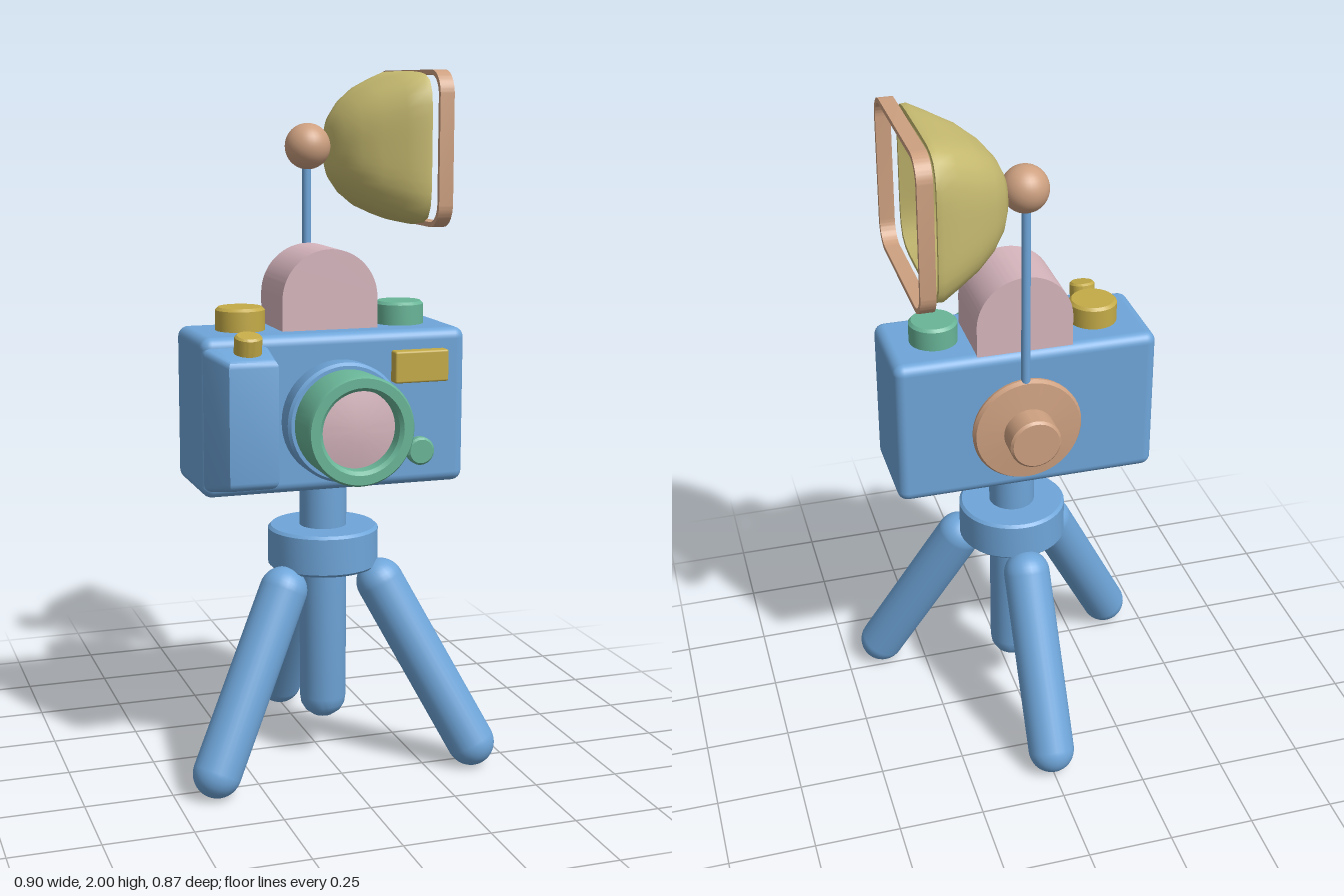
import * as THREE from 'three';
import { toCreasedNormals } from 'three/addons/utils/BufferGeometryUtils.js';
import { RoundedBoxGeometry } from 'three/addons/geometries/RoundedBoxGeometry.js';

const paint = (name, color) => {
  const m = new THREE.MeshStandardMaterial({ color });
  m.name = name;
  return m;
};

// Lathe from [radius, height] pairs, with edges kept sharp
const lathe = (points, sides = 40) =>
  toCreasedNormals(new THREE.LatheGeometry(points.map(([r, h]) => new THREE.Vector2(r, h)), sides), 0.6);

// Disc with small rounded rims, standing on height 0
const knob = (r, h, e = 0.008) => lathe([[0, 0], [r, 0], [r, h - e], [r - e, h], [0, h]]);

function roundedRect(target, w, h, r) {
  target.absarc(w - r, h - r, r, 0, Math.PI / 2);
  target.absarc(-w + r, h - r, r, Math.PI / 2, Math.PI);
  target.absarc(-w + r, -h + r, r, Math.PI, Math.PI * 1.5);
  target.absarc(w - r, -h + r, r, Math.PI * 1.5, Math.PI * 2);
  target.closePath();
  return target;
}

// Reflector bowl along x: squarish sections out to the rim, then back inside
function bowlGeometry() {
  const sections = [ // x, half height, half width, squareness
    [0.065, 0, 0, 2], [0.066, 0.06, 0.06, 2.4], [0.085, 0.1, 0.105, 2.6], [0.12, 0.14, 0.145, 3],
    [0.17, 0.175, 0.18, 3.6], [0.23, 0.2, 0.21, 4.5], [0.28, 0.217, 0.234, 5.5], [0.296, 0.214, 0.232, 6],
    [0.296, 0.202, 0.22, 6], [0.23, 0.185, 0.196, 4.5], [0.17, 0.16, 0.166, 3.8],
    [0.12, 0.125, 0.13, 3.6], [0.095, 0.09, 0.09, 3.6], [0.09, 0, 0, 2]];
  const n = 48, pos = [], index = [];
  sections.forEach(([x, hy, hz, p], i) => {
    for (let j = 0; j < n; j++) {
      const a = (j / n) * Math.PI * 2, c = Math.cos(a), s = Math.sin(a);
      const k = Math.pow(Math.abs(c) ** p + Math.abs(s) ** p, -1 / p);
      pos.push(x, c * k * hy, s * k * hz);
      if (i === 0) continue;
      const a0 = (i - 1) * n + j, b0 = (i - 1) * n + (j + 1) % n;
      if (i > 1) index.push(a0, b0, a0 + n);
      if (i < sections.length - 1) index.push(b0, b0 + n, a0 + n);
    }
  });
  const g = new THREE.BufferGeometry();
  g.setAttribute('position', new THREE.Float32BufferAttribute(pos, 3));
  g.setIndex(index);
  return toCreasedNormals(g, 0.9);
}

export function createModel() {
  const model = new THREE.Group();
  model.name = 'cameraOnTripod';
  const blue = paint('blue', 0x6fa6da);
  const gold = paint('gold', 0xc4ab48);
  const khaki = paint('khaki', 0xc6ba70);
  const green = paint('green', 0x69b598);
  const pink = paint('pink', 0xd6b5bd);
  const tan = paint('tan', 0xcda080);

  const add = (name, geometry, material, x = 0, y = 0, z = 0) => {
    const mesh = new THREE.Mesh(geometry, material);
    mesh.name = name;
    mesh.position.set(x, y, z);
    model.add(mesh);
    return mesh;
  };
  const midZ = 0.075;

  // Tripod: three splayed legs, centre column and collar
  const up = new THREE.Vector3(0, 1, 0);
  for (let i = 0; i < 3; i++) {
    const a = Math.PI + (i * Math.PI * 2) / 3;
    const at = (r, y) => new THREE.Vector3(Math.sin(a) * r, y, midZ + Math.cos(a) * r);
    const top = at(0.17, 0.54), foot = at(0.442, 0.07);
    const leg = add('tripodLeg', new THREE.CapsuleGeometry(0.069, top.distanceTo(foot), 10, 28), blue);
    leg.position.copy(top).add(foot).multiplyScalar(0.5);
    leg.quaternion.setFromUnitVectors(up, top.sub(foot).normalize());
  }
  add('centreColumn', lathe([[0, 0.12], [0.03, 0.124], [0.052, 0.14], [0.064, 0.16], [0.068, 0.185],
    [0.068, 0.86], [0, 0.86]]), blue, 0, 0, midZ);
  add('collar', lathe([[0, 0.585], [0.152, 0.585], [0.16, 0.593], [0.16, 0.697], [0.152, 0.705],
    [0, 0.705]]), blue, 0, 0, midZ);

  // Camera body
  add('body', new RoundedBoxGeometry(0.77, 0.445, 0.3, 4, 0.03), blue, -0.01, 1.0625, 0.08);

  // Hand grip with a top that slopes forward
  const gripShape = new THREE.Shape([[-0.37, -0.15], [-0.37, -0.23], [-0.335, -0.318], [-0.23, -0.318],
    [-0.218, -0.15]].map(([x, y]) => new THREE.Vector2(x, y)));
  const grip = new THREE.ExtrudeGeometry(gripShape, {
    depth: 0.36, bevelSize: 0.02, bevelThickness: 0.02, bevelSegments: 4 });
  grip.rotateX(-Math.PI / 2);
  const gp = grip.attributes.position;
  for (let i = 0; i < gp.count; i++) {
    const slope = (gp.getZ(i) - 0.22) * 0.2;
    if (gp.getY(i) > 0.2) gp.setY(i, gp.getY(i) - slope);
    else gp.setY(i, gp.getY(i) + slope);
  }
  add('grip', toCreasedNormals(grip, 0.6), blue, 0, 0.88, 0);

  // Arched viewfinder hump
  const hump = new THREE.Shape();
  hump.moveTo(-0.14, 1.26);
  hump.lineTo(0.14, 1.26);
  hump.absarc(0, 1.37, 0.14, 0, Math.PI);
  add('viewfinderHump', toCreasedNormals(new THREE.ExtrudeGeometry(hump, {
    depth: 0.21, bevelEnabled: false, curveSegments: 32 }), 0.6), pink, -0.005, 0, -0.055);

  // Dials and shutter button
  add('leftDial', knob(0.07, 0.08), green, 0.23, 1.27, midZ);
  add('rightDial', knob(0.07, 0.08), gold, -0.245, 1.27, midZ);
  const shutter = add('shutterButton', knob(0.038, 0.05, 0.006), gold, -0.28, 1.25, 0.276);
  shutter.rotation.x = 0.2;

  // Lens: mount ring, barrel with a recessed mouth, glass
  const lensPart = (name, points, material) => {
    const mesh = add(name, lathe(points, 56), material, -0.005, 1.045, 0);
    mesh.rotation.x = Math.PI / 2;
    return mesh;
  };
  lensPart('lensMount', [[0, 0.21], [0.16, 0.21], [0.168, 0.235], [0.168, 0.292], [0.16, 0.3], [0, 0.3]], blue);
  lensPart('lensBarrel', [[0.15, 0.29], [0.152, 0.42], [0.146, 0.43], [0.12, 0.43], [0.11, 0.42],
    [0.108, 0.37]], green);
  lensPart('lensGlass', [[0.112, 0.385], [0.08, 0.391], [0.04, 0.396], [0, 0.398]], pink);

  // Front window and small button
  add('frontWindow', new RoundedBoxGeometry(0.16, 0.09, 0.06, 2, 0.006), gold, 0.23, 1.185, 0.235);
  const button = add('frontButton', knob(0.04, 0.04, 0.006), green, 0.235, 0.94, 0.215);
  button.rotation.x = Math.PI / 2;

  // Rear eyepiece: shallow flange and round knob
  const eyepiece = add('eyepiece', lathe([[0, 0.05], [0.158, 0.05], [0.162, 0.08], [0.155, 0.092],
    [0.075, 0.1], [0.075, 0.168], [0.068, 0.175], [0, 0.175]], 48), tan, -0.005, 1.04, 0);
  eyepiece.rotation.x = -Math.PI / 2;

  // Flash: rod, ball joint, bowl and loose frame
  const flashZ = -0.078;
  add('flashRod', new THREE.CylinderGeometry(0.013, 0.013, 0.62, 16), blue, 0, 1.46, flashZ);
  add('ballJoint', new THREE.SphereGeometry(0.066, 32, 20), tan, 0.003, 1.785, flashZ);
  add('flashBowl', bowlGeometry(), khaki, 0, 1.78, flashZ);
  const frame = roundedRect(new THREE.Shape(), 0.255, 0.22, 0.07);
  frame.holes.push(roundedRect(new THREE.Path(), 0.241, 0.206, 0.057));
  const frameMesh = add('flashFrame', toCreasedNormals(new THREE.ExtrudeGeometry(frame, {
    depth: 0.042, bevelEnabled: false, curveSegments: 10 }), 0.6), tan, 0.308, 1.78, flashZ + 0.003);
  frameMesh.rotation.y = Math.PI / 2;

  return model;
}
